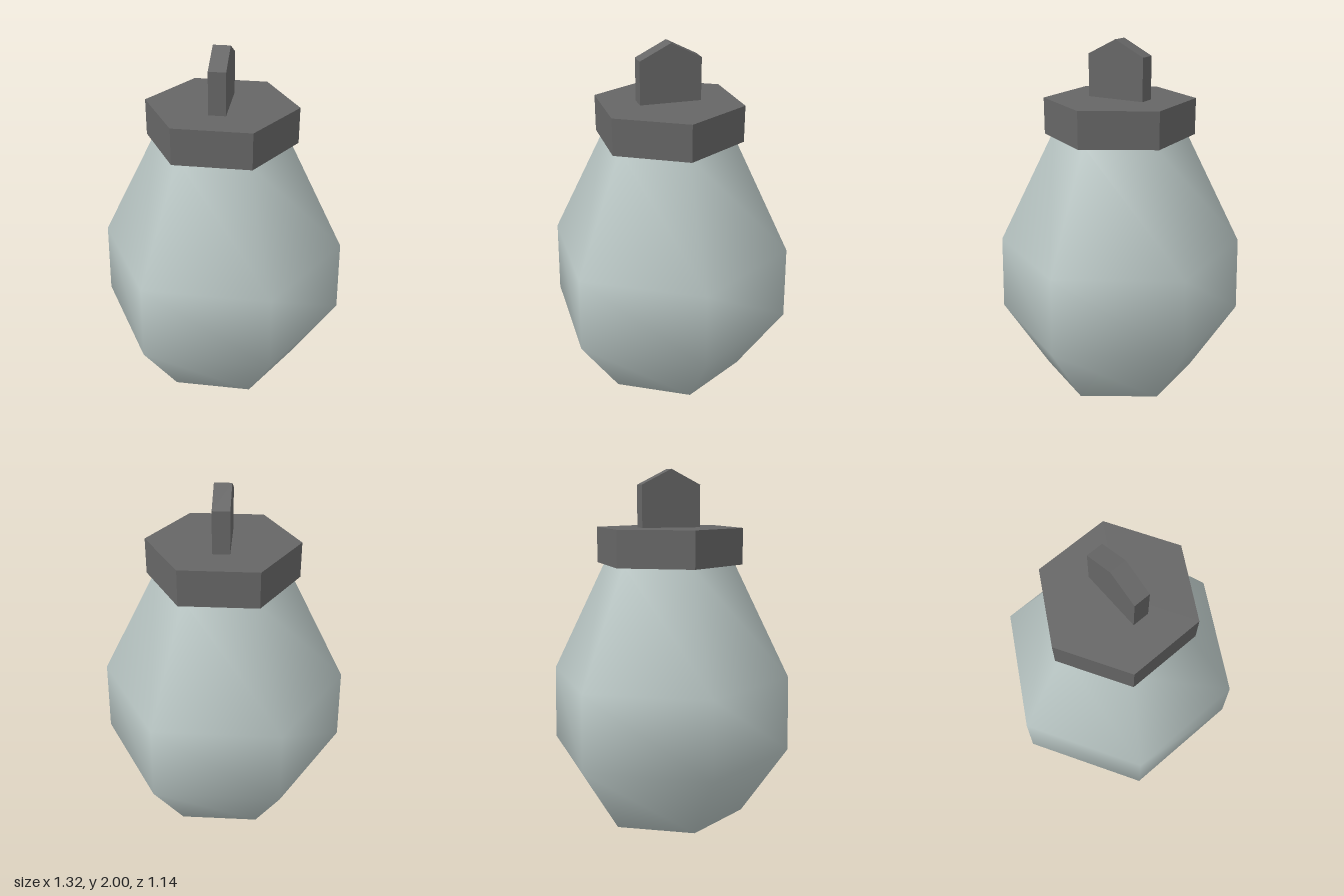
import * as THREE from 'three';

export function createModel() {
  const model = new THREE.Group();
  const glass = new THREE.MeshStandardMaterial({ color: 0xb9c6c4 });
  glass.name = 'pale grey green';
  const metal = new THREE.MeshStandardMaterial({ color: 0x666666 });
  metal.name = 'dark grey';

  const add = (name, geometry, material) => {
    const mesh = new THREE.Mesh(geometry, material);
    mesh.name = name;
    model.add(mesh);
    return mesh;
  };

  // Six-sided bulb with smooth normals, corners on the x axis
  const profile = [[0, 0], [0.412, 0.14], [0.66, 0.51], [0.65, 0.915], [0.35, 1.52]]
    .map(([r, y]) => new THREE.Vector2(r, y));
  add('bulb', new THREE.LatheGeometry(profile, 6).rotateY(Math.PI / 2), glass);

  // Hexagonal collar with flat faces
  const collar = new THREE.CylinderGeometry(0.394, 0.394, 0.19, 6)
    .rotateY(Math.PI / 2).toNonIndexed();
  collar.computeVertexNormals();
  add('collar', collar, metal).position.y = 1.605;

  // Upright tab with a pointed top
  const outline = new THREE.Shape([[-0.16, 1.7], [0.16, 1.7], [0.16, 1.92], [0, 2], [-0.16, 1.92]]
    .map(([z, y]) => new THREE.Vector2(z, y)));
  const tab = new THREE.ExtrudeGeometry(outline, { depth: 0.088, bevelEnabled: false })
    .translate(0, 0, -0.044).rotateY(Math.PI / 2);
  add('topTab', tab, metal);

  return model;
}
